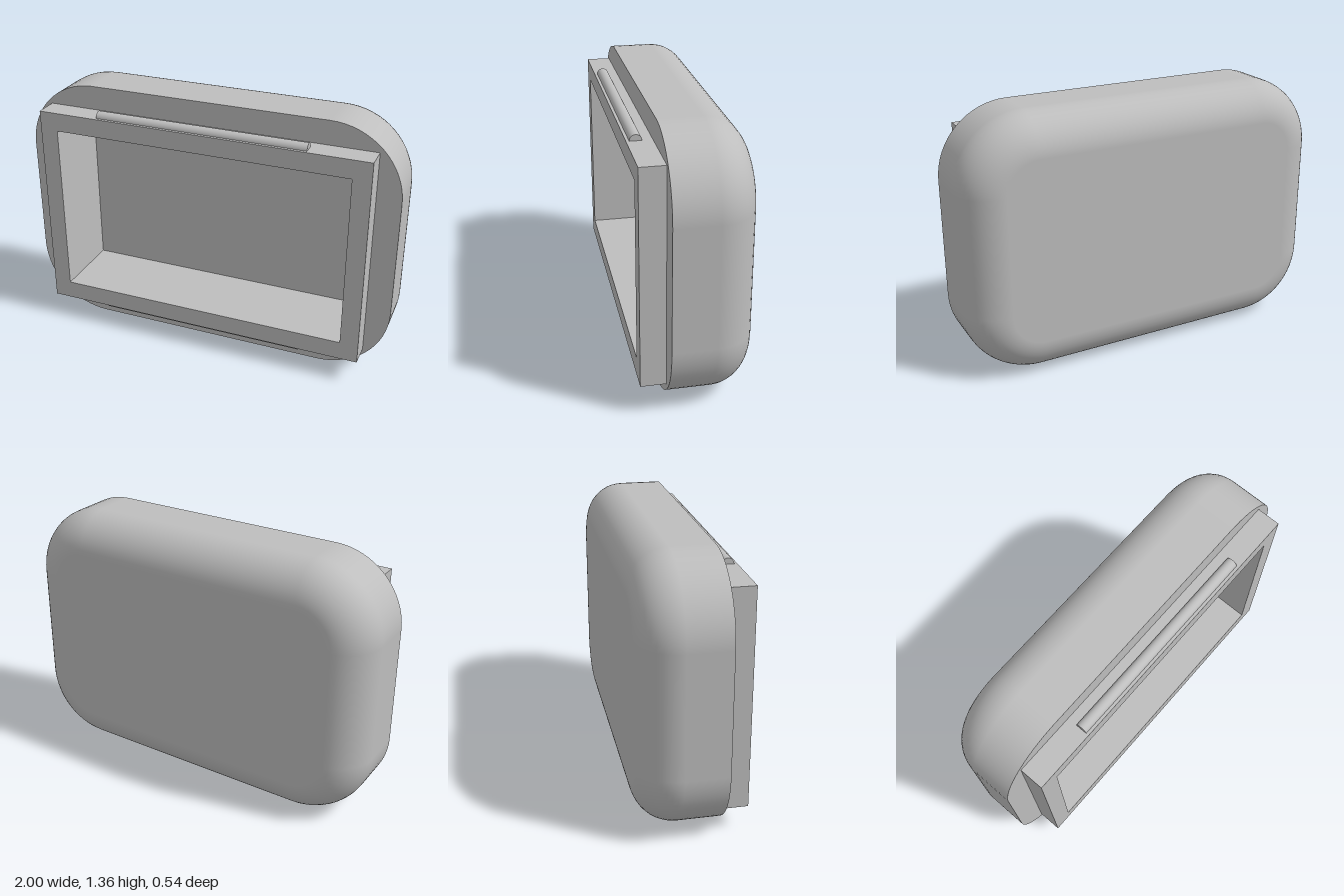
import * as THREE from 'three';

const HALF_W = 1, HALF_H = 0.68, CORNER = 0.37, FILLET = 0.2;
const RIM_Z = 0.27, FACE_Z = 0.145, FLOOR_Z = -0.12, BACK_Z = -0.27;
const RIM = [1.75, 1.11], OPENING = [1.56, 0.915];

// Rounded rectangle outline, inset evenly, with its outward directions
function outline(inset = 0) {
  const r = CORNER - inset, pts = [], steps = 16;
  [[1, 1], [-1, 1], [-1, -1], [1, -1]].forEach(([sx, sy], q) => {
    for (let i = 0; i <= steps; i++) {
      const a = (q + i / steps) * Math.PI / 2, nx = Math.cos(a), ny = Math.sin(a);
      pts.push({ x: sx * (HALF_W - CORNER) + r * nx, y: sy * (HALF_H - CORNER) + r * ny, nx, ny });
    }
  });
  return pts;
}

const toShape = pts => new THREE.Shape(pts.map(p => new THREE.Vector2(p.x, p.y)));

const rect = ([w, h]) => [[-1, -1], [1, -1], [1, 1], [-1, 1]]
  .map(([x, y]) => new THREE.Vector2(x * w / 2, y * h / 2));

// Straight side wall running into the quarter-round back edge
function sideGeometry() {
  const rings = [{ z: FACE_Z, t: 0 }], steps = 12;
  for (let i = 0; i <= steps; i++) {
    const t = i / steps * Math.PI / 2;
    rings.push({ z: BACK_Z + FILLET * (1 - Math.sin(t)), t });
  }
  const pos = [], nor = [], idx = [];
  let n = 0;
  rings.forEach(({ z, t }, j) => {
    const pts = outline(FILLET * (1 - Math.cos(t)));
    n = pts.length;
    pts.forEach((p, i) => {
      pos.push(p.x, p.y, z);
      nor.push(p.nx * Math.cos(t), p.ny * Math.cos(t), -Math.sin(t));
      if (j === 0) return;
      const k = (i + 1) % n, a = (j - 1) * n, b = j * n;
      idx.push(a + i, b + i, b + k, a + i, b + k, a + k);
    });
  });
  const g = new THREE.BufferGeometry();
  g.setAttribute('position', new THREE.Float32BufferAttribute(pos, 3));
  g.setAttribute('normal', new THREE.Float32BufferAttribute(nor, 3));
  g.setIndex(idx);
  return g;
}

// Four walls between two depths; the inward version also gets a floor
function walls([w, h], z0, z1, inward) {
  const g = new THREE.BoxGeometry(w, h, z1 - z0).translate(0, 0, (z0 + z1) / 2);
  const all = Array.from(g.index.array);
  let idx = all.slice(0, 24);
  if (inward) {
    idx = idx.concat(all.slice(30, 36)).reverse();
    const nrm = g.attributes.normal;
    for (let i = 0; i < nrm.array.length; i++) nrm.array[i] *= -1;
  }
  g.clearGroups();
  g.setIndex(idx);
  return g;
}

// Flat face with a rectangular hole
function frame(shape, hole, z) {
  shape.holes.push(new THREE.Path(rect(hole)));
  return new THREE.ShapeGeometry(shape).translate(0, 0, z);
}

export function createModel() {
  const model = new THREE.Group();
  model.name = 'roundedCase';
  const grey = new THREE.MeshStandardMaterial({ color: 0xbebebe });
  grey.name = 'grey';

  const group = name => {
    const g = new THREE.Group();
    g.name = name;
    g.position.y = HALF_H;
    model.add(g);
    return g;
  };
  const add = (parent, name, geometry) => {
    const m = new THREE.Mesh(geometry, grey);
    m.name = name;
    parent.add(m);
  };

  // Rounded shell
  const shell = group('shell');
  add(shell, 'shellSide', sideGeometry());
  add(shell, 'shellFront', frame(toShape(outline()), RIM, FACE_Z));
  add(shell, 'shellBack', new THREE.ShapeGeometry(toShape(outline(FILLET)))
    .rotateY(Math.PI).translate(0, 0, BACK_Z));

  // Raised rim and the open cavity
  const rim = group('rim');
  add(rim, 'rimSides', walls(RIM, FACE_Z, RIM_Z, false));
  add(rim, 'rimFront', frame(new THREE.Shape(rect(RIM)), OPENING, RIM_Z));
  add(rim, 'cavity', walls(OPENING, FLOOR_Z, RIM_Z, true));

  // Half-round snap ridges above and below the rim
  const ridges = group('snapRidges');
  for (const s of [1, -1]) {
    const g = new THREE.CylinderGeometry(0.03, 0.03, 1.11, 24, 1, false, 0, Math.PI).rotateZ(Math.PI / 2);
    if (s < 0) g.rotateX(Math.PI);
    add(ridges, s > 0 ? 'topRidge' : 'bottomRidge', g.translate(0, s * RIM[1] / 2, 0.225));
  }
  return model;
}
